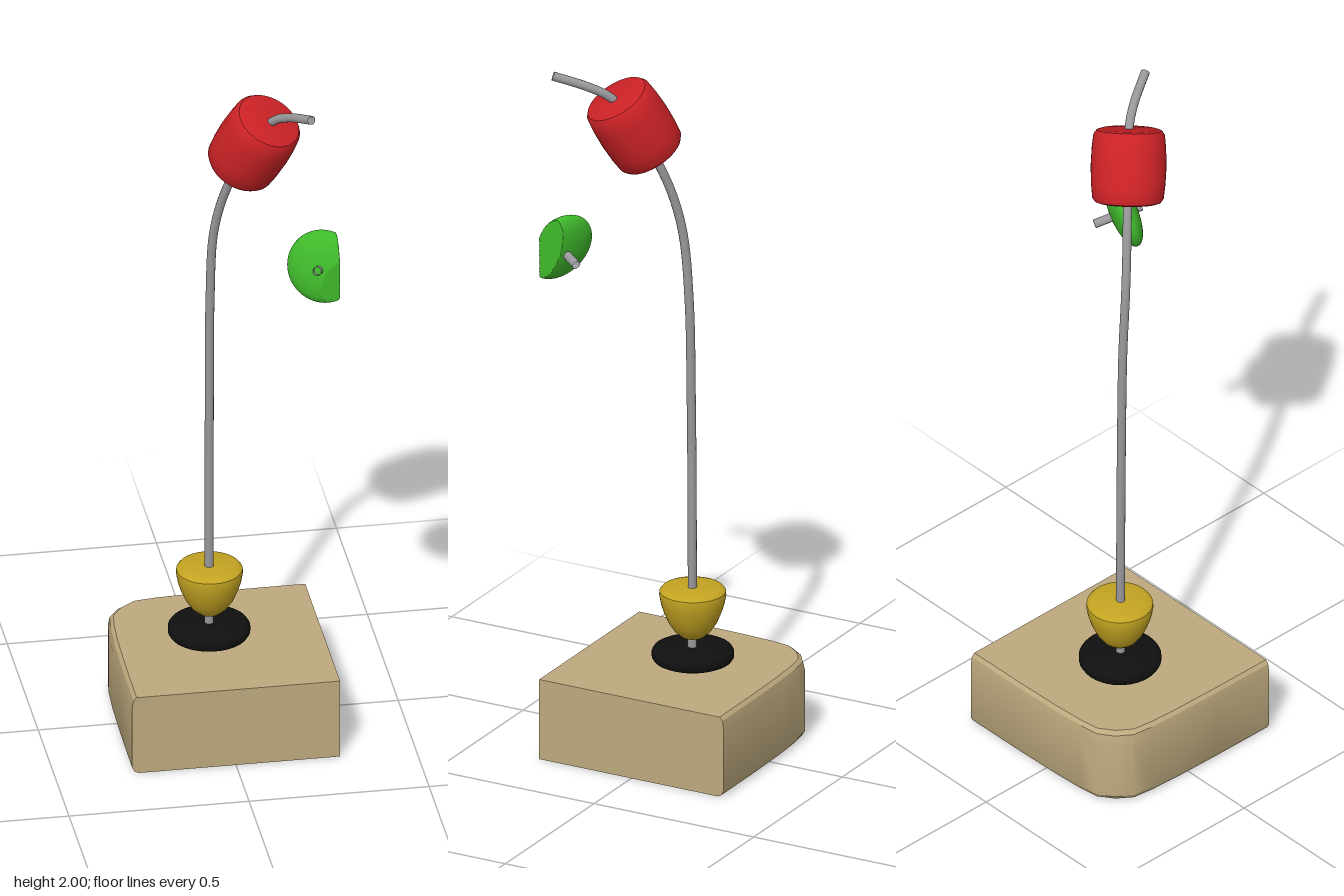
import * as THREE from 'three';
import { toCreasedNormals } from 'three/addons/utils/BufferGeometryUtils.js';
import { ConvexGeometry } from 'three/addons/geometries/ConvexGeometry.js';

const CUT = 0.289; // the block and wires end flat at x = CUT and z = CUT
const UP = new THREE.Vector3(0, 1, 0);
const V = (x, y, z) => new THREE.Vector3(x, y, z);

const mat = (name, color, side = THREE.FrontSide) => {
  const m = new THREE.MeshStandardMaterial({ color, side });
  m.name = name;
  return m;
};

export function createModel() {
  const group = new THREE.Group();
  const wood = mat('wood', 0xbda97e);
  const red = mat('red', 0xcb2226);
  const green = mat('green', 0x3fb92b);
  const yellow = mat('yellow', 0xc4a422);
  const black = mat('black', 0x101010);
  const metal = mat('metal', 0x98979a, THREE.DoubleSide);

  const add = (name, geometry, material) => {
    const mesh = new THREE.Mesh(geometry, material);
    mesh.name = name;
    group.add(mesh);
    return mesh;
  };
  const lathe = (points, segments = 40) => toCreasedNormals(
    new THREE.LatheGeometry(points.map(([r, y]) => new THREE.Vector2(r, y)), segments), 0.6);

  // Wooden base: rounded on the back right corner, flat on the two cut sides
  const half = [[-0.289, CUT], [-0.288, 0.1], [-0.285, -0.05], [-0.28, -0.14], [-0.272, -0.2]];
  const outline = [...half, [-0.242, -0.242], ...half.map(([x, z]) => [z, x])];
  const basePoints = [V(CUT, 0, CUT), V(CUT, 0.235, CUT)];
  for (const [y, inset] of [[0, 0.018], [0.006, 0.007], [0.02, 0], [0.2, 0], [0.225, 0.004], [0.235, 0.013]]) {
    for (const [x, z] of outline) {
      basePoints.push(V(x < 0 ? x + inset : x, y, z < 0 ? z + inset : z));
    }
  }
  add('base', toCreasedNormals(new ConvexGeometry(basePoints), 0.5), wood);

  // Bent wires
  const wire = (name, points, segments) => add(name,
    new THREE.TubeGeometry(new THREE.CatmullRomCurve3(points), segments, 0.0125, 12), metal);
  wire('mainWire', [
    V(-0.022, 0.2, -0.018), V(-0.022, 0.6, -0.018), V(-0.022, 1.0, -0.015), V(-0.021, 1.3, -0.009),
    V(-0.015, 1.5, 0.007), V(0.005, 1.62, 0.03), V(0.035, 1.72, 0.06), V(0.08, 1.833, 0.107),
    V(0.125, 1.92, 0.15), V(0.16, 1.955, 0.2), V(0.21, 1.99, CUT),
  ], 90);
  wire('sideWire', [V(0.225, 1.518, CUT), V(0.25, 1.505, 0.244), V(CUT, 1.482, 0.172)], 10);

  // Flat black washer bead
  const washer = lathe([[0, 0], [0.098, 0], [0.108, 0.005], [0.113, 0.013], [0.113, 0.027],
    [0.108, 0.035], [0.098, 0.04], [0, 0.04]]);
  add('washerBead', washer, black).position.set(-0.022, 0.243, -0.02);

  // Yellow cup-shaped bead
  const cup = lathe([[0, 0], [0.02, 0], [0.032, 0.005], [0.05, 0.021], [0.066, 0.045], [0.078, 0.072],
    [0.087, 0.1], [0.092, 0.127], [0.091, 0.138], [0.085, 0.145], [0.075, 0.148], [0, 0.148]]);
  add('cupBead', cup, yellow).position.set(-0.021, 0.311, -0.02);

  // Red barrel bead, tilted along the wire
  const barrel = lathe([[0, -0.103], [0.078, -0.103], [0.09, -0.099], [0.098, -0.088], [0.102, -0.05],
    [0.104, 0], [0.102, 0.05], [0.098, 0.088], [0.09, 0.099], [0.078, 0.103], [0, 0.103]]);
  const barrelBead = add('barrelBead', barrel, red);
  barrelBead.position.set(0.081, 1.833, 0.107);
  barrelBead.quaternion.setFromUnitVectors(UP, V(0.42, 1, 0.42).normalize());

  // Green lens bead, pulled in towards its centre to end flat on the cut planes
  const centre = V(0.25, 1.508, 0.245);
  const lens = new THREE.SphereGeometry(1, 96, 64);
  lens.scale(0.102, 0.038, 0.102);
  lens.applyQuaternion(new THREE.Quaternion().setFromUnitVectors(UP, V(-0.42, 0.27, 0.87).normalize()));
  const pos = lens.attributes.position;
  const p = V(0, 0, 0);
  for (let i = 0; i < pos.count; i++) {
    p.fromBufferAttribute(pos, i);
    const over = Math.max(1, p.x / (CUT - centre.x), p.z / (CUT - centre.z));
    p.divideScalar(over).add(centre);
    pos.setXYZ(i, p.x, p.y, p.z);
  }
  add('lensBead', toCreasedNormals(lens, 0.4), green);

  return group;
}
